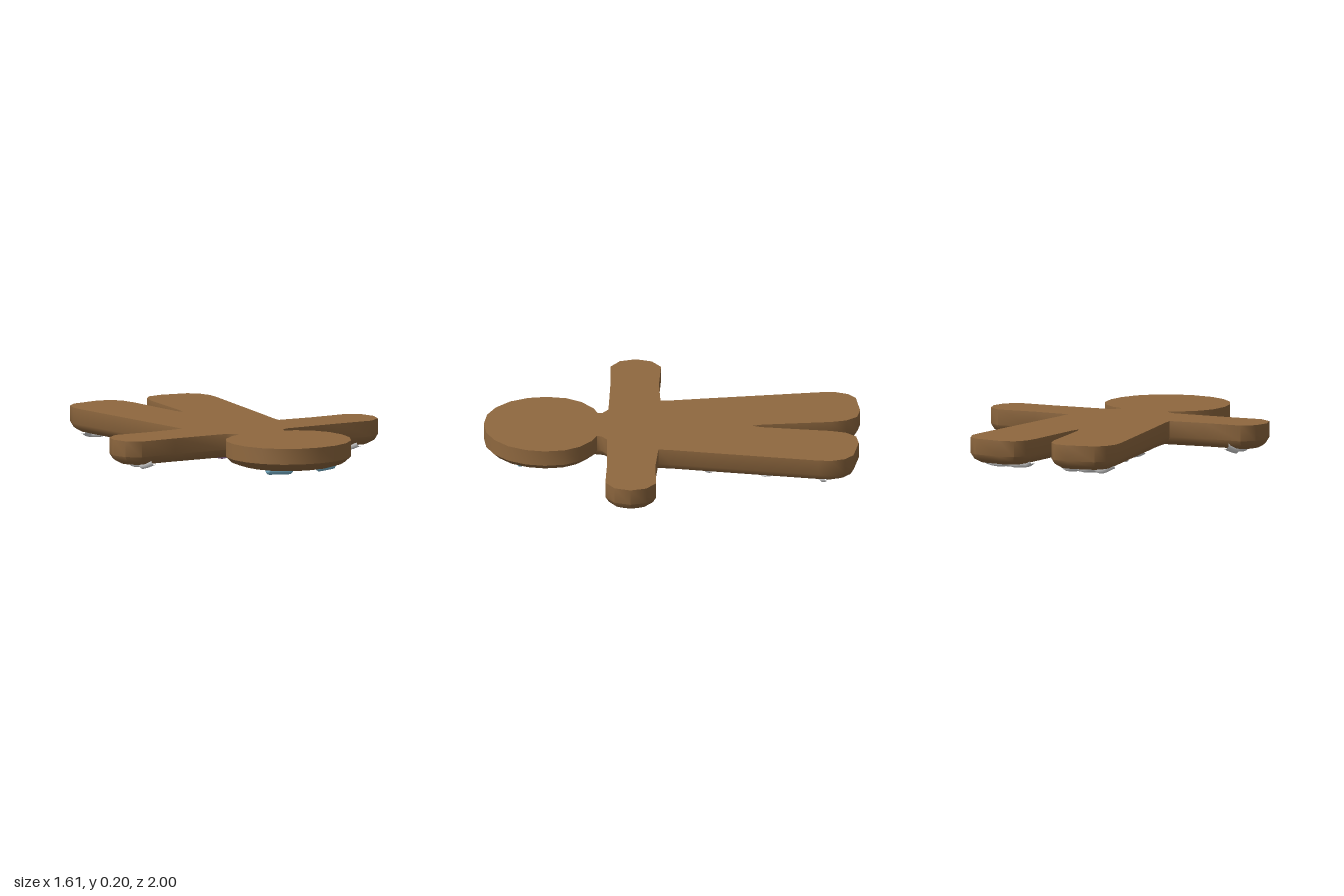
import * as THREE from 'three';
import { toCreasedNormals } from 'three/addons/utils/BufferGeometryUtils.js';

const mat = (name, color) => Object.assign(new THREE.MeshStandardMaterial({ color }), { name });

// Half outline of the biscuit as [x, z], from the top of the head to the crotch
const HALF = [
  [0, 1], [0.11, 0.985], [0.2, 0.94], [0.275, 0.865], [0.32, 0.77], [0.335, 0.67],
  [0.32, 0.565], [0.275, 0.485], [0.2, 0.42], [0.14, 0.395], [0.145, 0.37], [0.185, 0.34],
  [0.5, 0.335], [0.71, 0.34], [0.78, 0.29], [0.805, 0.205], [0.78, 0.12], [0.715, 0.07],
  [0.5, 0.077], [0.3, 0.065], [0.305, 0], [0.335, -0.2], [0.42, -0.79], [0.423, -0.86],
  [0.4, -0.93], [0.35, -0.975], [0.2, -1], [0.12, -0.985], [0.075, -0.93], [0.055, -0.85],
  [0.035, -0.66], [0.015, -0.48], [0, -0.43],
];

// Slab with a flat top and a rounded lower edge, from inset copies of the outline
function biscuitGeometry() {
  const mirrored = HALF.map(([x, z]) => new THREE.Vector2(-x, z));
  const back = HALF.slice(1, -1).reverse().map(([x, z]) => new THREE.Vector2(x, z));
  const loop = [...mirrored, ...back];
  const n = loop.length;
  const inward = loop.map((p, i) => {
    const a = p.clone().sub(loop[(i + n - 1) % n]).normalize();
    const b = loop[(i + 1) % n].clone().sub(p).normalize();
    const m = new THREE.Vector2(-a.y - b.y, a.x + b.x).normalize();
    const cos = m.x * -a.y + m.y * a.x;
    return m.divideScalar(Math.max(cos, 0.6));
  });
  // [height, inset]
  const rings = [[0.2, 0], [0.115, 0], [0.085, 0.018], [0.067, 0.05]];
  const pos = [];
  for (const [y, inset] of rings) {
    loop.forEach((p, i) => {
      const head = p.y > 0.41;
      const d = inset * (head ? 1.7 : 1);
      pos.push(p.x + inward[i].x * d, y, p.y + inward[i].y * d);
    });
  }
  const index = [];
  for (let r = 0; r < rings.length - 1; r++) {
    for (let i = 0; i < n; i++) {
      const j = (i + 1) % n, u = r * n, l = u + n;
      index.push(u + i, u + j, l + i, u + j, l + j, l + i);
    }
  }
  const last = (rings.length - 1) * n;
  const lower = loop.map((_, i) => new THREE.Vector2(pos[(last + i) * 3], pos[(last + i) * 3 + 2]));
  for (const [a, b, c] of THREE.ShapeUtils.triangulateShape(loop, [])) index.push(a, c, b);
  for (const [a, b, c] of THREE.ShapeUtils.triangulateShape(lower, [])) {
    index.push(last + a, last + b, last + c);
  }
  const g = new THREE.BufferGeometry();
  g.setAttribute('position', new THREE.Float32BufferAttribute(pos, 3));
  g.setIndex(index);
  return toCreasedNormals(g, 0.75);
}

// Wavy line of icing between two [x, z] points, with its ends sunk into the biscuit
function icingGeometry([x0, z0], [x1, z1], waves, amp) {
  const steps = waves * 2;
  const len = Math.hypot(x1 - x0, z1 - z0);
  const nx = -(z1 - z0) / len, nz = (x1 - x0) / len;
  const pts = [];
  for (let i = 0; i <= steps; i++) {
    const t = i / steps, w = (i % 2 ? 1 : -1) * amp;
    const y = i === 0 || i === steps ? 0.085 : 0.06;
    pts.push(new THREE.Vector3(x0 + (x1 - x0) * t + nx * w, y, z0 + (z1 - z0) * t + nz * w));
  }
  return new THREE.TubeGeometry(new THREE.CatmullRomCurve3(pts), steps * 4, 0.024, 7);
}

export function createModel() {
  const brown = mat('gingerbread brown', 0x8f683f);
  const white = mat('icing white', 0xdcdcdc);
  const blue = mat('eye blue', 0x7dbbd6);
  const red = mat('mouth red', 0xb5343a);
  const purple = mat('button purple', 0xb488be);

  const model = new THREE.Group();
  model.name = 'gingerbreadBiscuit';
  const add = (name, geometry, material, x = 0, y = 0, z = 0) => {
    const m = new THREE.Mesh(geometry, material);
    m.name = name;
    m.position.set(x, y, z);
    model.add(m);
    return m;
  };

  add('biscuitBody', biscuitGeometry(), brown);

  // Ring mouth on the underside
  add('mouth', new THREE.TorusGeometry(0.064, 0.025, 10, 24).rotateX(Math.PI / 2), red, 0, 0.053, 0.54);

  // Faceted sweet buttons
  purple.flatShading = true;
  for (const z of [0.21, -0.02]) {
    add('button', new THREE.SphereGeometry(0.066, 8, 6).scale(1, 0.85, 1), purple, 0, 0.058, z);
  }

  // Waist icing
  add('waistIcing', icingGeometry([-0.29, -0.21], [0.29, -0.21], 5, 0.012), white);

  for (const s of [1, -1]) {
    const side = s > 0 ? 'left' : 'right';
    const eye = add(side + 'Eye',
      new THREE.CapsuleGeometry(0.022, 0.105, 5, 10).rotateZ(Math.PI / 2), blue, s * 0.143, 0.064, 0.82);
    eye.rotation.y = s * 0.35;
    add(side + 'Cheek', new THREE.SphereGeometry(0.042, 10, 8).scale(1, 0.6, 1), white, s * 0.125, 0.064, 0.7);
    add(side + 'CuffIcing', icingGeometry([s * 0.635, 0.085], [s * 0.635, 0.315], 2, 0.014), white);
    add(side + 'AnkleIcing', icingGeometry([s * 0.08, -0.825], [s * 0.385, -0.825], 3, 0.014), white);
    // Flat icing dashes across the leg
    for (let i = 0; i < 4; i++) {
      const dash = add(side + 'LegDash', new THREE.CylinderGeometry(0.03, 0.03, 0.008, 8).scale(0.8, 1, 1.4),
        white, s * (0.09 + i * 0.073), 0.065, -0.54 + (i % 2) * 0.02);
      dash.rotation.y = (i % 2 ? 1 : -1) * 0.4;
    }
  }
  return model;
}
